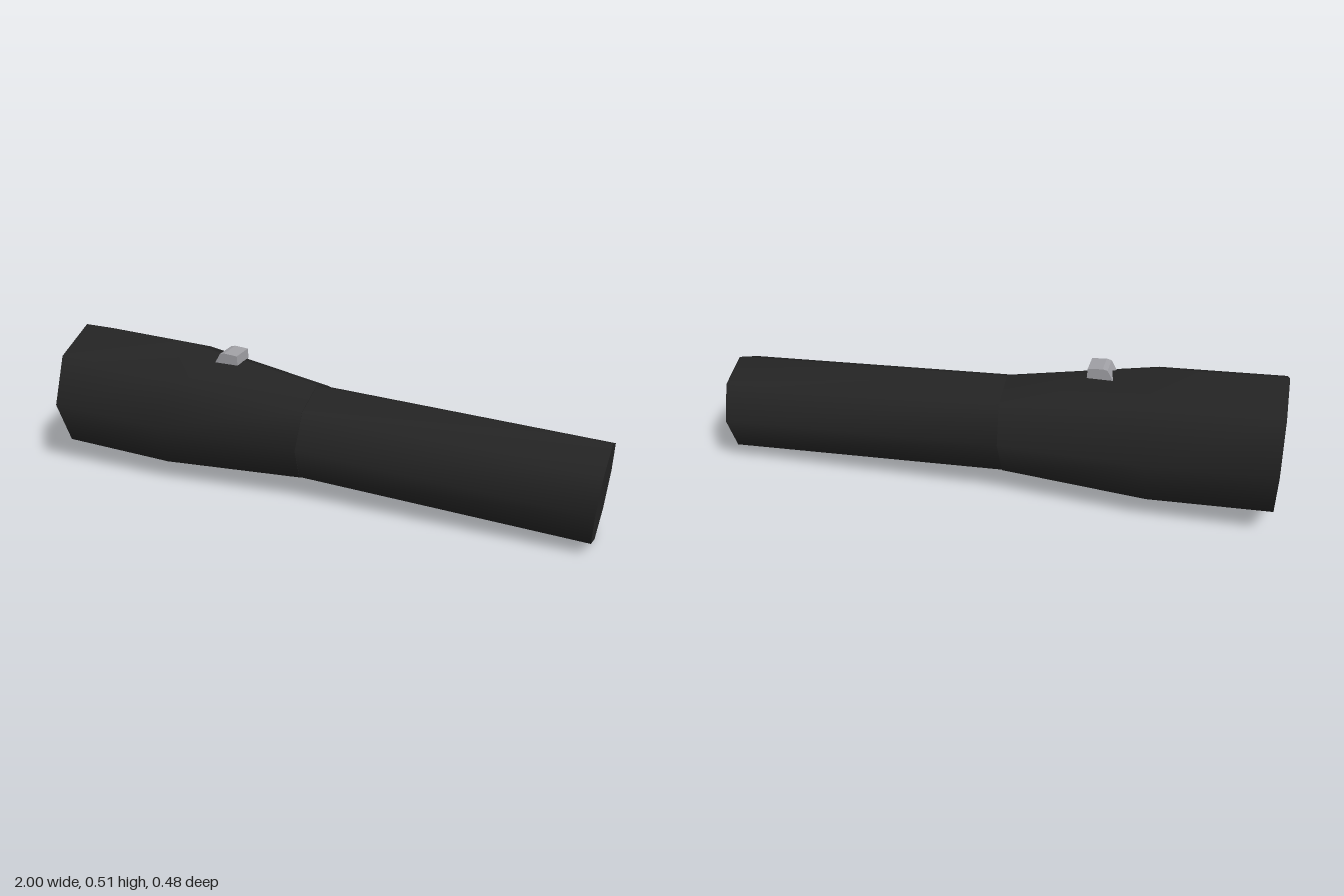
import * as THREE from 'three';

const SIDES = 8;

// Octagonal loft along x; each ring is [x, centreY, radius, tilt]
function loft(rings) {
  const pos = [], idx = [];
  const addRing = ([x, y, r, tilt]) => {
    const start = pos.length / 3;
    for (let i = 0; i < SIDES; i++) {
      const a = (i / SIDES) * Math.PI * 2, up = r * Math.cos(a);
      pos.push(x + up * tilt, y + up, r * Math.sin(a));
    }
    return start;
  };
  const starts = rings.map(addRing);
  for (let j = 0; j < starts.length - 1; j++) {
    for (let i = 0; i < SIDES; i++) {
      const n = (i + 1) % SIDES, p = starts[j], q = starts[j + 1];
      idx.push(p + i, p + n, q + i, p + n, q + n, q + i);
    }
  }
  // flat end caps with their own vertices
  [[rings[0], false], [rings[rings.length - 1], true]].forEach(([ring, forward]) => {
    const s = addRing(ring);
    for (let i = 1; i < SIDES - 1; i++) {
      if (forward) idx.push(s, s + i, s + i + 1);
      else idx.push(s, s + i + 1, s + i);
    }
  });
  const g = new THREE.BufferGeometry();
  g.setAttribute('position', new THREE.Float32BufferAttribute(pos, 3));
  g.setIndex(idx);
  g.computeVertexNormals();
  return g;
}

export function createModel() {
  const group = new THREE.Group();
  const black = new THREE.MeshStandardMaterial({ color: 0x242424 });
  black.name = 'black casing';
  const grey = new THREE.MeshStandardMaterial({ color: 0xa0a0a5 });
  grey.name = 'grey metal';
  const add = (name, geometry, material) => {
    const mesh = new THREE.Mesh(geometry, material);
    mesh.name = name;
    group.add(mesh);
    return mesh;
  };

  // wide lamp head narrowing to the neck
  add('lampHead', loft([
    [-0.998, 0.273, 0.242, 0],
    [-0.565, 0.256, 0.242, 0.05],
    [-0.05, 0.2265, 0.182, 0.05],
  ]), black);

  // straight handle, drooping slightly towards its end
  add('handle', loft([
    [-0.055, 0.2265, 0.18, 0.05],
    [0.988, 0.183, 0.18, 0.06],
  ]), black);

  // sliding switch with a sloped front, on top of the head
  const profile = new THREE.Shape([
    [-0.422, 0.457], [-0.332, 0.457], [-0.334, 0.492], [-0.385, 0.496], [-0.402, 0.492],
  ].map(([x, y]) => new THREE.Vector2(x, y)));
  const slider = new THREE.ExtrudeGeometry(profile, { depth: 0.09, bevelEnabled: false });
  slider.translate(0, 0, -0.045);
  add('switch', slider, grey);

  // reflector areas showing through the lamp face, as [z, y] from its centre
  const patches = [
    [[-0.09, 0.13], [-0.13, 0.13], [-0.185, 0.09], [-0.18, 0.055], [-0.13, 0.05], [-0.08, 0.075]],
    [[0.1, 0.015], [0.02, 0.015], [0.0, -0.06], [-0.07, -0.11], [-0.055, -0.145],
      [0.045, -0.2], [0.1, -0.18], [0.14, -0.15], [0.15, -0.08]],
  ];
  patches.forEach((points, i) => {
    const loop = points.map(([z, y]) => new THREE.Vector3(z, y, 0));
    const outline = new THREE.CatmullRomCurve3(loop, true).getPoints(32).slice(0, -1);
    const shape = new THREE.Shape(outline.map((p) => new THREE.Vector2(p.x, p.y)));
    const patch = add('reflectorPatch' + (i + 1), new THREE.ShapeGeometry(shape), grey);
    patch.rotation.y = -Math.PI / 2;
    patch.position.set(-1, 0.273, 0);
  });

  return group;
}
